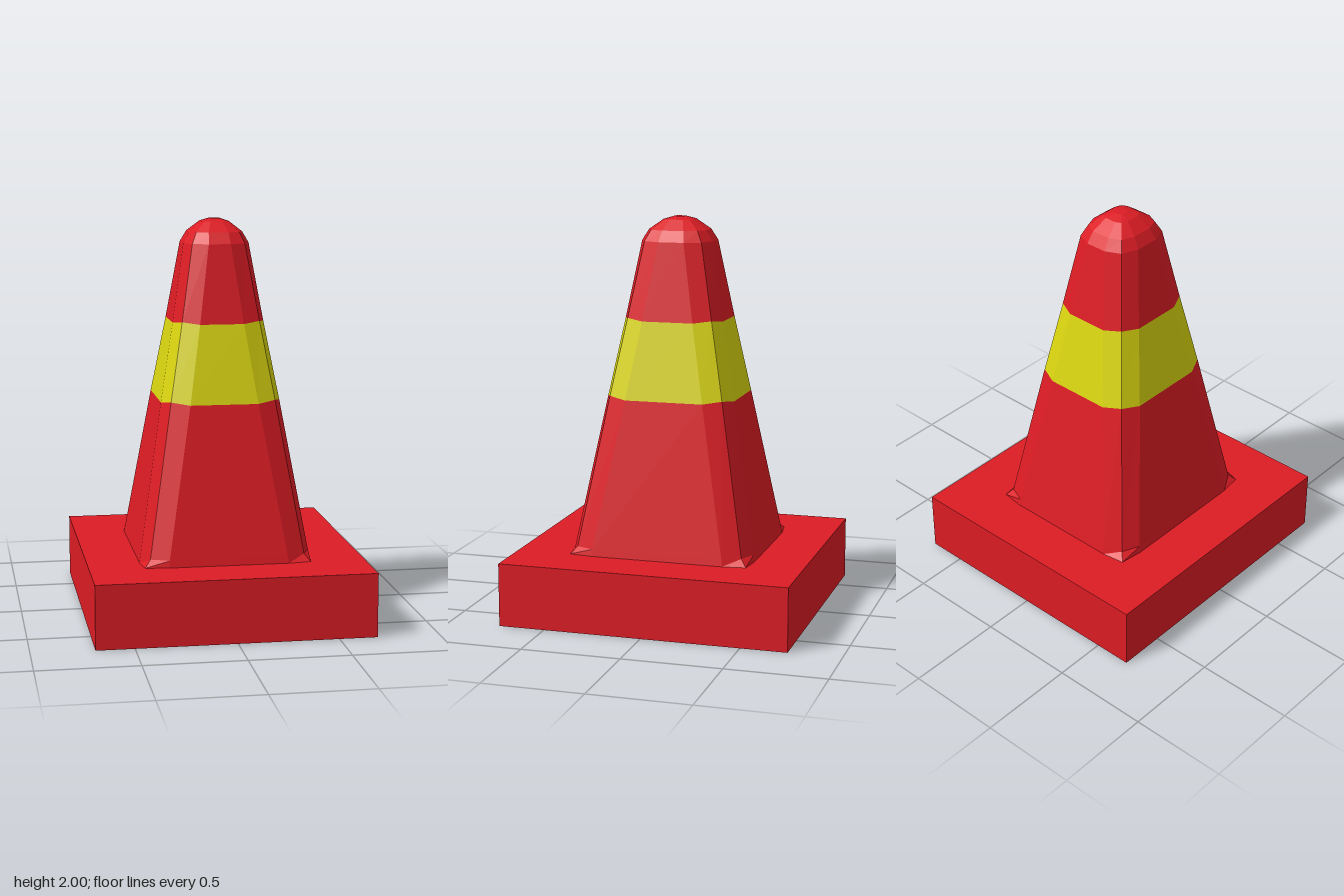
import * as THREE from 'three';

const red = new THREE.MeshStandardMaterial({ color: 0xdc1c24, flatShading: true });
const yellow = new THREE.MeshStandardMaterial({ color: 0xdad510, flatShading: true });

// Twelve-point rounded rectangle: half sizes hx/hz, straight half lengths sx/sz,
// k = how far the corner point bulges, lift = how much it rises
function ring({ y, hx, hz, sx, sz, k = 0.7, lift = 0 }) {
  const mx = sx + (hx - sx) * k, mz = sz + (hz - sz) * k;
  const quarter = [[hx, sz, y], [mx, mz, y + lift], [sx, hz, y]];
  const points = [];
  for (const [fx, fz, flip] of [[1, 1, false], [-1, 1, true], [-1, -1, false], [1, -1, true]]) {
    const corner = flip ? [...quarter].reverse() : quarter;
    for (const [x, z, h] of corner) points.push([x * fx, h, z * fz]);
  }
  return points;
}

// Skin a stack of rings, optionally closing the top
function loft(name, sections, material, capped = false) {
  const rings = sections.map(ring);
  const n = rings[0].length;
  const index = [];
  for (let r = 0; r < rings.length - 1; r++) {
    for (let i = 0; i < n; i++) {
      const a = r * n + i, b = r * n + (i + 1) % n;
      index.push(a, a + n, b, b, a + n, b + n);
    }
  }
  const positions = rings.flat(2);
  if (capped) {
    const last = (rings.length - 1) * n;
    positions.push(0, sections[sections.length - 1].y, 0);
    for (let i = 0; i < n; i++) index.push(rings.length * n, last + (i + 1) % n, last + i);
  }
  const geometry = new THREE.BufferGeometry();
  geometry.setAttribute('position', new THREE.Float32BufferAttribute(positions, 3));
  geometry.setIndex(index);
  const flat = geometry.toNonIndexed();
  flat.computeVertexNormals();
  const mesh = new THREE.Mesh(flat, material);
  mesh.name = name;
  return mesh;
}

export function createModel() {
  const group = new THREE.Group();
  group.name = 'trafficCone';

  // Square slab
  const base = new THREE.Mesh(new THREE.BoxGeometry(1.38, 0.32, 1.47), red);
  base.name = 'base';
  base.position.y = 0.16;
  group.add(base);

  // Shared seams between the red and yellow parts
  const bandBottom = { y: 1.1, hx: 0.3, hz: 0.33, sx: 0.17, sz: 0.2, lift: 0.012 };
  const bandTop = { y: 1.49, hx: 0.23, hz: 0.255, sx: 0.11, sz: 0.13, lift: 0.01 };

  // Lower body with squarer flared corners at the foot
  group.add(loft('lowerBody', [
    { y: 0.32, hx: 0.43, hz: 0.472, sx: 0.3, sz: 0.34, k: 0.88 },
    { y: 0.355, hx: 0.424, hz: 0.466, sx: 0.295, sz: 0.335 },
    bandBottom,
  ], red));

  // Reflective band
  group.add(loft('band', [bandBottom, bandTop], yellow));

  // Upper body and rounded tip
  group.add(loft('upperBody', [
    bandTop,
    { y: 1.88, hx: 0.165, hz: 0.183, sx: 0.055, sz: 0.065 },
    { y: 1.935, hx: 0.133, hz: 0.148, sx: 0.05, sz: 0.055 },
    { y: 1.985, hx: 0.07, hz: 0.078, sx: 0.03, sz: 0.033 },
    { y: 2, hx: 0.025, hz: 0.028, sx: 0.01, sz: 0.011 },
  ], red, true));

  return group;
}
